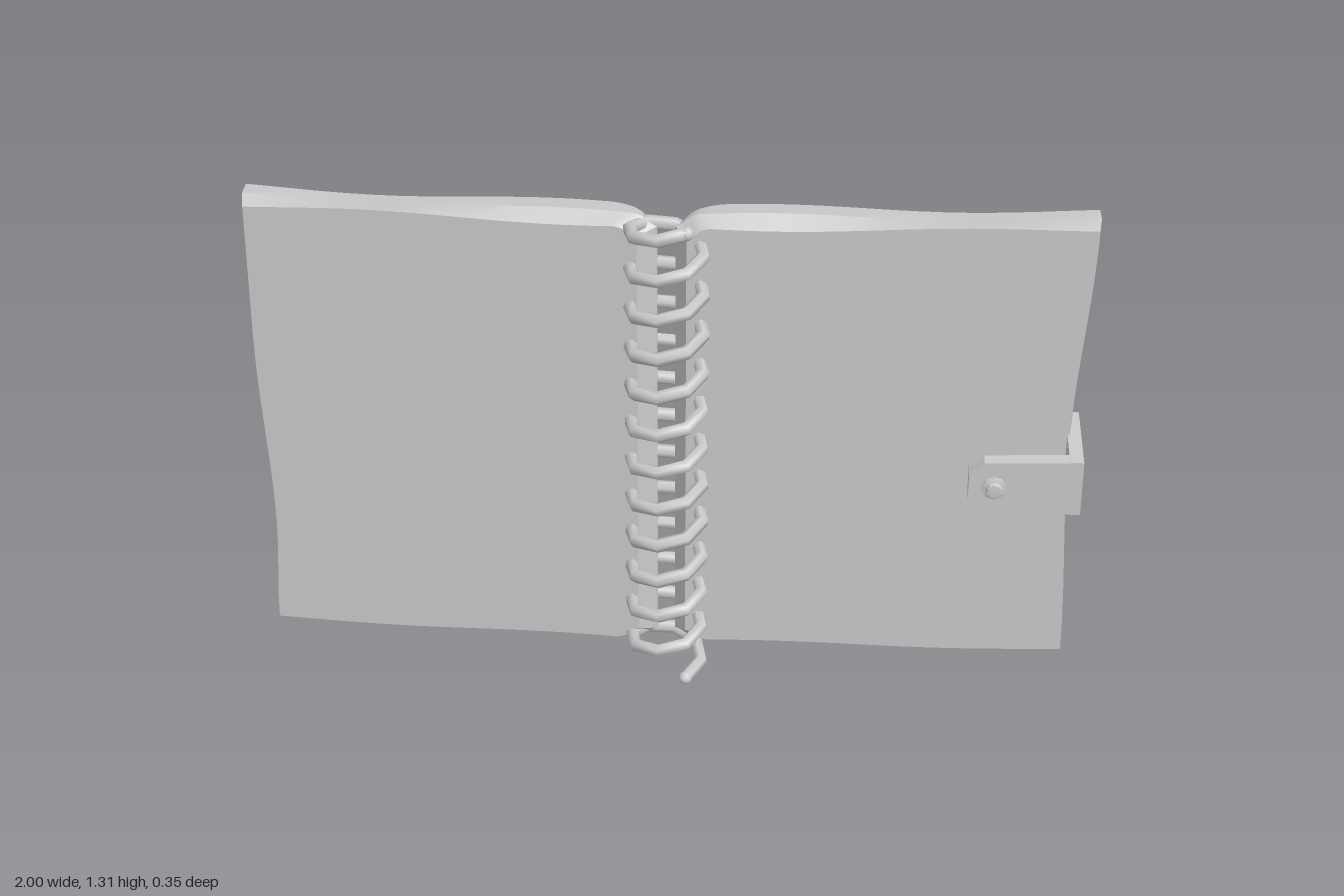
import * as THREE from 'three';
import { toCreasedNormals } from 'three/addons/utils/BufferGeometryUtils.js';

const grey = new THREE.MeshStandardMaterial({ color: 0xcccccc });
const greyThin = new THREE.MeshStandardMaterial({ color: 0xcccccc, side: THREE.DoubleSide });

function add(parent, name, geometry, x = 0, y = 0, z = 0, material = grey) {
  const mesh = new THREE.Mesh(geometry, material);
  mesh.name = name;
  mesh.position.set(x, y, z);
  parent.add(mesh);
  return mesh;
}

// Move every vertex of a geometry by a rule
function warp(geometry, rule) {
  const p = geometry.attributes.position;
  for (let i = 0; i < p.count; i++) p.setXYZ(i, ...rule(p.getX(i), p.getY(i), p.getZ(i)));
  return toCreasedNormals(geometry, 0.45);
}

const smooth = THREE.MathUtils.smoothstep;
const mix = THREE.MathUtils.lerp;

// One half of the open book: wavy edges, bevelled front, back rounded into the spine
function bookHalf(side) {
  return warp(new THREE.BoxGeometry(1, 1, 1, 24, 20, 2), (bx, by, bz) => {
    const u = Math.pow(0.5 + side * bx, 1.6); // 0 at the spine, 1 at the outer edge
    const v = by + 0.5;
    const front = bz > 0.1, back = bz < -0.1;
    const outer = side > 0
      ? 0.966 + 0.032 * smooth(v, 0.5, 1) + 0.019 * smooth(1 - v, 0.55, 1)
      : 0.976 + 0.021 * smooth(v, 0.25, 0.7) + 0.012 * smooth(1 - v, 0.75, 1);
    const inner = side > 0 ? (front ? 0.045 : 0.018) : (front ? 0.07 : 0.025);
    const x = mix(inner, outer - (front ? 0.006 : 0), u);

    const wave = Math.sin(u * Math.PI * 2.2);
    const corner = 0.03 * (1 - smooth(u, 0, 0.05));
    let top = 1.266 + 0.008 * wave + (side > 0 ? 0.01 * u : 0);
    let bottom = 0.047 + 0.009 * wave;
    if (front) {
      top = 1.256 - 0.006 * wave + (side > 0 ? 0.018 * u * u : 0.004 * u);
      bottom = 0.071 + 0.004 * wave;
    } else if (back) {
      top -= 0.008;
      bottom += 0.004;
    }
    const y = mix(bottom + corner, top - corner, v);

    const bend = 1 - smooth(x, 0.015, 0.13);
    let z = front ? 0.033 : back ? -0.065 + 0.035 * bend : -0.008;
    if (side < 0) z -= 0.054 * (x - 0.08);
    return [side * x, y, z];
  });
}

// Spiral binding wire
class Helix extends THREE.Curve {
  getPoint(t, target = new THREE.Vector3()) {
    const a = 0.6 + t * Math.PI * 2 * 12;
    return target.set(0.088 * Math.sin(a), 0.009 + 0.106 * a / (Math.PI * 2), 0.05 + 0.088 * Math.cos(a));
  }
}

function makeCoil() {
  const coil = new THREE.Group();
  coil.name = 'spiralBinding';
  const helix = new Helix();
  add(coil, 'coilWire', new THREE.TubeGeometry(helix, 96, 0.017, 6));
  for (const t of [0, 1]) {
    const p = helix.getPoint(t);
    add(coil, 'coilTip', new THREE.IcosahedronGeometry(0.017, 1), p.x, p.y, p.z);
  }
  return coil;
}

// Closing strap wrapped around the outer edge, with a snap button
function makeStrap() {
  const strap = new THREE.Group();
  strap.name = 'closingStrap';
  add(strap, 'strapSide', new THREE.BoxGeometry(0.033, 0.148, 0.22), 0.9715, 0.64, 0.045);
  const flap = new THREE.Shape([
    [0.988, 0.566], [0.988, 0.714], [0.755, 0.706], [0.72, 0.675], [0.72, 0.605], [0.75, 0.574],
  ].map(([x, y]) => new THREE.Vector2(x, y)));
  add(strap, 'strapFlap', new THREE.ExtrudeGeometry(flap, { depth: 0.035, bevelEnabled: false }), 0, 0, 0.12);
  const button = new THREE.LatheGeometry([
    [0.03, 0], [0.03, 0.007], [0.02, 0.01], [0.017, 0.018], [0, 0.02],
  ].map(([r, h]) => new THREE.Vector2(r, h)), 10);
  add(strap, 'snapButton', toCreasedNormals(button, 0.5), 0.78, 0.638, 0.154).rotation.x = Math.PI / 2;
  return strap;
}

// Strip of tape with toothed short ends
function tapeGeometry(width, height) {
  const pts = [];
  const teeth = 6;
  for (const end of [-1, 1]) {
    for (let i = 0; i <= teeth; i++) {
      pts.push(new THREE.Vector2(
        -end * width * (i / teeth - 0.5),
        end * (height / 2 - (i % 2) * 0.009)));
    }
  }
  return new THREE.ExtrudeGeometry(new THREE.Shape(pts), { depth: 0.004, bevelEnabled: false });
}

// Loose sheet with wavy edges, one corner curling away from the cover
function noteGeometry() {
  return warp(new THREE.PlaneGeometry(1, 1, 24, 14), (px, py) => {
    const u = 0.5 - px, v = py + 0.5;
    const curl = smooth(u, 0.5, 1) * smooth(v, 0.4, 1);
    const ragged = 0.012 * Math.sin(v * 19) * smooth(u, 0.85, 1);
    const top = 0.96 + 0.04 * Math.sin(u * Math.PI) + 0.06 * curl;
    const bottom = 0.7 + 0.018 * Math.sin(u * 7.5);
    const ripple = 0.004 * (1 + Math.sin(u * 9 + v * 2));
    return [-0.2 - 0.6 * u - ragged, mix(bottom, top, v), -0.006 - ripple - 0.062 * curl];
  });
}

// Everything fixed to the back of the tilted cover
function makeCoverItems() {
  const items = new THREE.Group();
  items.name = 'coverAttachments';
  items.position.z = -0.061;
  items.rotation.y = -0.054;
  add(items, 'tapedNote', noteGeometry(), 0, 0, 0, greyThin);
  for (const [x, y, w, h, turn] of [
    [-0.225, 0.99, 0.075, 0.12, 0.1],
    [-0.26, 0.68, 0.075, 0.11, -0.25],
    [-0.815, 0.725, 0.085, 0.11, 0.12],
  ]) add(items, 'tapeStrip', tapeGeometry(w, h), x, y, -0.018).rotation.z = turn;
  add(items, 'notePin', new THREE.TorusGeometry(0.018, 0.005, 6, 12), -0.235, 0.87, -0.016);
  // Label sits at a slight angle so its upper outer edges stand proud
  const label = add(items, 'coverLabel', new THREE.BoxGeometry(0.35, 0.115, 0.01), -0.745, 1.157, -0.001);
  label.rotation.set(-0.04, -0.012, 0);
  return items;
}

export function createModel() {
  const model = new THREE.Group();
  model.name = 'openNotebook';
  add(model, 'leftBookHalf', bookHalf(1));
  add(model, 'rightBookHalf', bookHalf(-1));
  model.add(makeCoil(), makeStrap(), makeCoverItems());
  return model;
}
